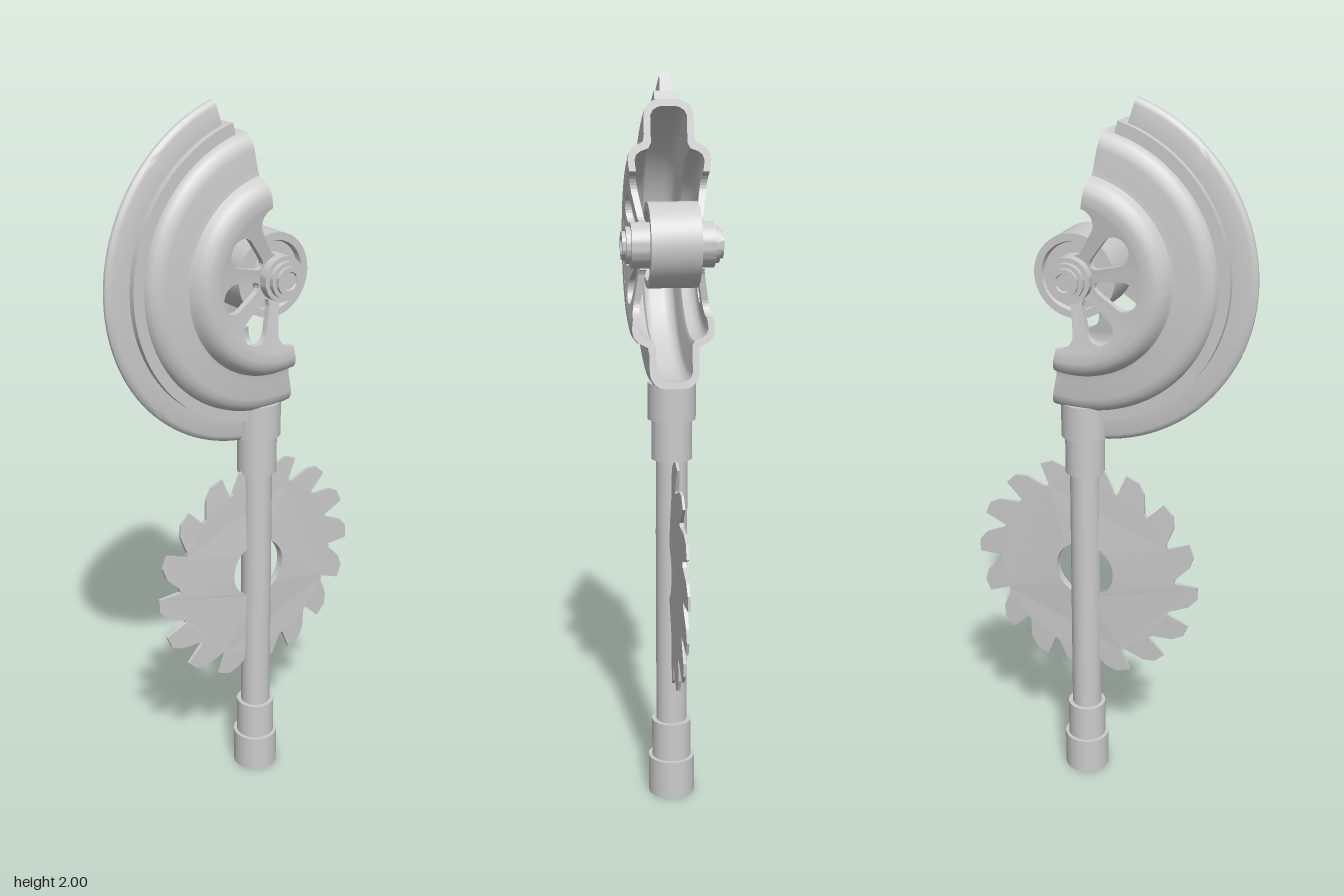
import * as THREE from 'three';
import { toCreasedNormals } from 'three/addons/utils/BufferGeometryUtils.js';

const D = Math.PI / 180;
const AXIS_Z = -0.065, WHEEL_Y = 1.553, BLADE_Y = 0.67;
const material = new THREE.MeshStandardMaterial({ color: 0xcccccc });
const openMaterial = new THREE.MeshStandardMaterial({ color: 0xcccccc, side: THREE.DoubleSide });

function add(parent, name, geometry, mat = material) {
  const mesh = new THREE.Mesh(geometry, mat);
  mesh.name = name;
  parent.add(mesh);
  return mesh;
}

// Mirrors a [radius, x] half profile (rim to centre order) across x = 0
const mirrored = (half) => [...half.map(([r, x]) => [r, -x]), ...[...half].reverse()];

// Revolves [radius, x] points about the x axis between two elevations
function revolve(points, from = -180, to = 180, segments = 64) {
  const pts = points.map(([r, x]) => new THREE.Vector2(r, x));
  const g = new THREE.LatheGeometry(pts, segments, -to * D, (to - from) * D);
  g.rotateZ(-Math.PI / 2);
  return toCreasedNormals(g, 0.6);
}

// Closed section swept through part of a turn, with flat ends
function sweptSection(parent, name, loop, from, to) {
  add(parent, name, revolve([...loop, loop[0]], from, to, 56));
  for (const e of [from, to]) {
    const cap = new THREE.ShapeGeometry(new THREE.Shape(loop.map(([r, x]) => new THREE.Vector2(x, r))));
    cap.rotateX((90 - e) * D);
    add(parent, name + 'End', cap, openMaterial);
  }
}

// Half of one spoke bay of the dished side wall, bordered by a teardrop slot
function spokeHalf(slotAngle, dir, side) {
  const R = 0.202, inner = 0.045, thick = 0.018, pts = [];
  const polar = (r, a) => {
    const t = (180 - slotAngle - dir * a) * D;
    return new THREE.Vector2(r * Math.cos(t), r * Math.sin(t));
  };
  // Slot edge given as distance along and across the slot's centre line
  const slot = (u, v) => polar(Math.hypot(u, v), Math.atan2(v, u) / D);
  pts.push(polar(R, 0));
  for (let i = 0; i <= 8; i++) {
    const t = i * 13 * D;
    pts.push(slot(0.152 + 0.038 * Math.cos(t), 0.038 * Math.sin(t)));
  }
  pts.push(slot(0.1, 0.023), slot(0.075, 0.014), slot(0.066, 0.007), slot(0.064, 0));
  for (let i = 0; i <= 3; i++) pts.push(polar(inner, i * 7.5));
  for (let i = 6; i > 0; i--) pts.push(polar(R, i * 3.75));
  const g = new THREE.ExtrudeGeometry(new THREE.Shape(pts), { depth: thick, bevelEnabled: false });
  const p = g.attributes.position;
  for (let i = 0; i < p.count; i++) {
    const r = Math.hypot(p.getX(i), p.getY(i));
    p.setZ(i, p.getZ(i) - thick / 2 + side * (0.099 - 0.16 * (R - r)));
  }
  g.rotateY(Math.PI / 2);
  g.computeVertexNormals();
  return g;
}

// Toothed blade that thins toward its edge
function bladeGeometry() {
  const teeth = 16, pts = [];
  const tooth = [[0.268, 0], [0.272, 3], [0.29, 6], [0.318, 10], [0.338, 15.5], [0.337, 22.2]];
  for (let i = 0; i < teeth; i++) {
    for (const [r, a] of tooth) {
      const t = (90 - 24 - i * 360 / teeth - a) * D;
      pts.push(new THREE.Vector2(r * Math.cos(t), r * Math.sin(t)));
    }
  }
  const shape = new THREE.Shape(pts);
  shape.holes.push(new THREE.Path().absarc(0, 0, 0.087, 0, Math.PI * 2));
  const g = new THREE.ExtrudeGeometry(shape, { depth: 2, bevelEnabled: false, curveSegments: 20 });
  const p = g.attributes.position;
  for (let i = 0; i < p.count; i++) {
    const r = Math.hypot(p.getX(i), p.getY(i));
    p.setZ(i, (p.getZ(i) - 1) * (0.0145 - 0.033 * r));
  }
  g.rotateY(Math.PI / 2);
  g.computeVertexNormals();
  return g;
}

export function createModel() {
  const model = new THREE.Group();
  model.name = 'sawStaff';

  // Handle: stepped foot, pole and stepped collar
  const handle = new THREE.Group();
  handle.name = 'handle';
  handle.position.z = AXIS_Z;
  model.add(handle);
  const sections = [
    ['footCap', 0.065, 0, 0.11], ['footSleeve', 0.055, 0.11, 0.22], ['pole', 0.043, 0.22, 0.98],
    ['collarSleeve', 0.055, 0.98, 1.09], ['collarCap', 0.065, 1.09, 1.19],
  ];
  for (const [name, r, y0, y1] of sections) {
    add(handle, name, new THREE.CylinderGeometry(r, r, y1 - y0, 32)).position.y = (y0 + y1) / 2;
  }

  // Circular blade around the pole
  add(model, 'sawBlade', bladeGeometry()).position.set(0, BLADE_Y, AXIS_Z);

  // Half-wheel guard
  const guard = new THREE.Group();
  guard.name = 'guard';
  guard.position.set(0, WHEEL_Y, AXIS_Z);
  model.add(guard);

  // Hollow stepped shell
  const outer = mirrored([
    [0.2, 0.108], [0.222, 0.11], [0.24, 0.106], [0.254, 0.095], [0.262, 0.08], [0.268, 0.069], [0.285, 0.066],
    [0.335, 0.066], [0.352, 0.062], [0.366, 0.052], [0.374, 0.04], [0.377, 0.025],
  ]);
  const inner = mirrored([
    [0.2, 0.09], [0.22, 0.092], [0.234, 0.087], [0.243, 0.075], [0.25, 0.055], [0.265, 0.048],
    [0.335, 0.048], [0.348, 0.042], [0.356, 0.03], [0.359, 0.018],
  ]);
  sweptSection(guard, 'guardShell', [...outer, ...inner.reverse()], -101, 79);

  // Raised band and thin outer rim
  sweptSection(guard, 'rimBand', [[0.365, -0.033], [0.406, -0.033], [0.406, 0.033], [0.365, 0.033]], -97, 75);
  sweptSection(guard, 'outerRim', mirrored([[0.4, 0.015], [0.455, 0.015], [0.465, 0.011], [0.47, 0.004]]), -96, 72);

  // Slotted, dished side walls: whole bays in the middle, half bays at the cut
  for (const side of [1, -1]) {
    for (let i = 0; i < 5; i++) {
      const slotAngle = 79 - 45 * i;
      if (i > 0) add(guard, 'spokes', spokeHalf(slotAngle, 1, side));
      if (i < 4) add(guard, 'spokes', spokeHalf(slotAngle, -1, side));
    }
  }

  // Central hub with stepped axle ends
  const hub = mirrored([
    [0, 0.128], [0.022, 0.128], [0.024, 0.133], [0.037, 0.133], [0.037, 0.123], [0.048, 0.123], [0.048, 0.11],
    [0.06, 0.11], [0.06, 0.052], [0.088, 0.052], [0.092, 0.066], [0.112, 0.066],
  ]);
  add(guard, 'axleHub', revolve(hub, -180, 180, 48));
  return model;
}
